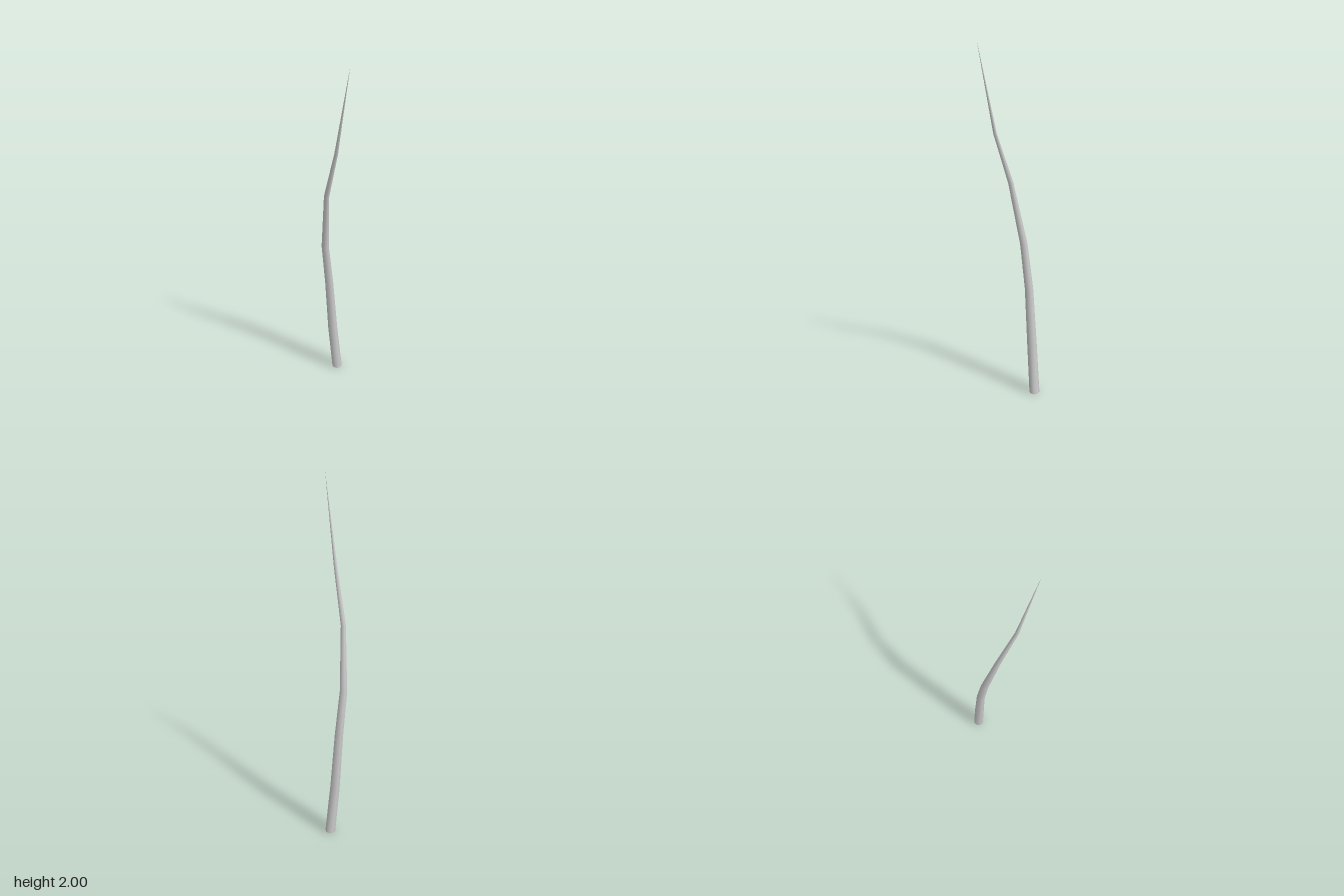
import * as THREE from 'three';

// Centre line from base to tip: x, y, z, radius
const RINGS = [
  [-0.130, 0.00, -0.052, 0.029],
  [-0.131, 0.30, -0.024, 0.027],
  [-0.126, 0.64, 0.001, 0.023],
  [-0.113, 0.90, 0.033, 0.020],
  [-0.048, 1.25, 0.064, 0.0135],
  [0.048, 1.53, 0.070, 0.009],
  [0.155, 2.00, 0.066, 0],
];
const SIDES = 8;

// Bends a cone along the centre line, tilting each ring square to the path
function bentSpike() {
  const last = RINGS.length - 1;
  const geo = new THREE.CylinderGeometry(0, 1, 1, SIDES, last);
  const pos = geo.attributes.position;
  for (let i = 0; i < pos.count; i++) {
    const k = Math.round((pos.getY(i) + 0.5) * last);
    const [x, y, z, r] = RINGS[k];
    const scale = k < last ? r / (1 - k / last) : 0;
    const dx = pos.getX(i) * scale;
    const dz = pos.getZ(i) * scale;
    let dy = 0;
    if (k > 0 && k < last) {
      const a = RINGS[k - 1], b = RINGS[k + 1];
      dy = -(dx * (b[0] - a[0]) + dz * (b[2] - a[2])) / (b[1] - a[1]);
    }
    pos.setXYZ(i, x + dx, y + dy, z + dz);
  }
  geo.computeVertexNormals();

  // Smooth the normals across the side seam
  const nor = geo.attributes.normal;
  const n = new THREE.Vector3(), m = new THREE.Vector3();
  for (let k = 1; k <= last; k++) {
    const i = k * (SIDES + 1), j = i + SIDES;
    n.fromBufferAttribute(nor, i).add(m.fromBufferAttribute(nor, j)).normalize();
    nor.setXYZ(i, n.x, n.y, n.z);
    nor.setXYZ(j, n.x, n.y, n.z);
  }
  return geo;
}

export function createModel() {
  const group = new THREE.Group();
  const stem = new THREE.Mesh(bentSpike(), new THREE.MeshStandardMaterial({ color: 0xcccccc }));
  stem.name = 'stem';
  group.add(stem);
  return group;
}
